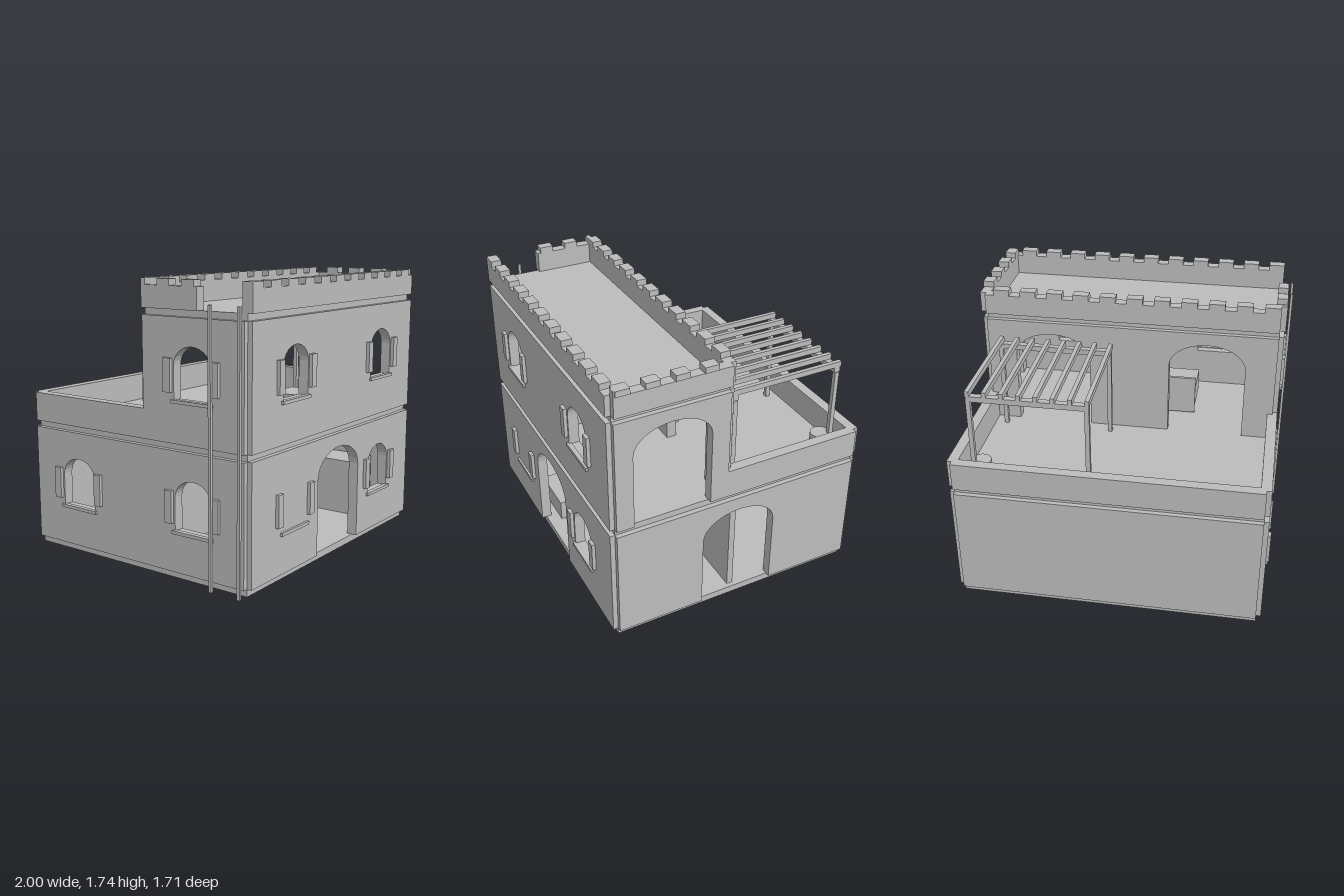
import * as THREE from 'three';

const stone = new THREE.MeshStandardMaterial({ color: 0xbcbcbc });
stone.name = 'stone grey';

const T = 0.065; // wall thickness

export function createModel() {
  const model = new THREE.Group();

  const add = (name, geo) => {
    const mesh = new THREE.Mesh(geo, stone);
    mesh.name = name;
    model.add(mesh);
    return mesh;
  };

  // Box given by its limits on each axis
  const box = (name, x0, x1, y0, y1, z0, z1) => {
    const geo = new THREE.BoxGeometry(x1 - x0, y1 - y0, z1 - z0);
    geo.translate((x0 + x1) / 2, (y0 + y1) / 2, (z0 + z1) / 2);
    return add(name, geo);
  };

  // Arched outline points: jamb, elliptical head, jamb
  const archPoints = ({ c, half, bottom, top, rise }) => {
    const pts = [new THREE.Vector2(c - half, bottom)];
    for (let i = 0; i <= 14; i++) {
      const a = Math.PI * (1 - i / 14);
      pts.push(new THREE.Vector2(c + half * Math.cos(a), top - rise + rise * Math.sin(a)));
    }
    pts.push(new THREE.Vector2(c + half, bottom));
    return pts;
  };

  // Wall plate with door notches (in rising order) and window holes
  const wallGeometry = (u0, u1, y0, y1, doors = [], windows = []) => {
    const outline = [new THREE.Vector2(u0, y0)];
    doors.forEach((d) => outline.push(...archPoints(d)));
    outline.push(new THREE.Vector2(u1, y0), new THREE.Vector2(u1, y1), new THREE.Vector2(u0, y1));
    const shape = new THREE.Shape(outline);
    windows.forEach((w) => shape.holes.push(new THREE.Path(archPoints(w))));
    return new THREE.ExtrudeGeometry(shape, { depth: T, bevelEnabled: false });
  };
  // Wall along x, starting at z
  const wallX = (name, z, ...args) => add(name, wallGeometry(...args).translate(0, 0, z));
  // Wall along z, its +x face at x
  const wallZ = (name, x, ...args) =>
    add(name, wallGeometry(...args).rotateY(-Math.PI / 2).translate(x, 0, 0));

  const door = (c, y) => ({ c, half: 0.245, bottom: y, top: y + 0.64, rise: 0.16 });
  const win = (c, y) => ({ c, half: 0.13, bottom: y, top: y + 0.31, rise: 0.11 });

  const G0 = 0.045, G1 = 0.77, U0 = 0.81, U1 = 1.53, P0 = 1.57, P1 = 1.7, P2 = 1.737;
  const X0 = -0.93, X1 = 0.95;

  // Floor slabs, set back behind the wall faces
  box('baseSlab', X0, X1, 0, G0, -0.815, 0.805);
  box('middleSlab', X0, X1, G1, U0, -0.815, 0.805);
  box('roofSlab', X0, X1, U1, P0, 0.09, 0.805);

  // Ground floor walls
  wallX('groundFrontWall', 0.77, X0, X1, G0, G1, [door(0.01, G0)], [win(0.525, 0.295)]);
  wallX('groundBackWall', -0.845, X0, X1, G0, G1);
  wallZ('groundRightWall', 0.98, -0.815, 0.805, G0, G1, [door(0, G0)]);
  wallZ('groundLeftWall', -0.895, -0.815, 0.805, G0, G1, [], [win(-0.45, 0.295), win(0.45, 0.295)]);

  // Upper floor walls
  wallX('upperFrontWall', 0.77, X0, X1, U0, U1, [], [win(-0.497, 1.06), win(0.525, 1.06)]);
  wallX('upperBackWall', 0.06, X0, X1, U0, U1, [door(-0.49, U0), door(0.52, U0)]);
  wallZ('upperRightWall', 0.98, 0.09, 0.805, U0, U1, [door(0.45, U0)]);
  wallZ('upperLeftWall', -0.895, 0.09, 0.805, U0, U1, [], [win(0.45, 1.06)]);

  // Terrace parapet
  box('terraceBackParapet', X0, X1, U0, 0.99, -0.85, -0.785);
  box('terraceRightParapet', 0.915, 0.98, U0, 0.99, -0.815, 0.09);
  box('terraceLeftParapet', -0.96, -0.895, U0, 0.99, -0.815, 0.09);

  // Roof parapet, open at the left front for the ladder
  box('roofFrontParapet', X0, X1, P0, P1, 0.77, 0.837);
  box('roofBackParapet', X0, X1, P0, P1, 0.055, 0.12);
  box('roofRightParapet', 0.925, 0.99, P0, P1, 0.09, 0.805);
  box('roofLeftParapet', -0.965, -0.9, P0, P1, 0.09, 0.49);

  // Battlements
  for (let i = 0; i < 11; i++) {
    const x = X0 + 0.1 + i * 0.172;
    box('frontMerlon', x - 0.1, x, P1, P2, 0.77, 0.837);
    box('backMerlon', x - 0.1, x, P1, P2, 0.055, 0.12);
  }
  for (let i = 0; i < 4; i++) {
    const z = 0.185 + i * 0.175;
    box('rightMerlon', 0.925, 0.995, P1, P2, z, z + 0.085);
    if (i < 2) box('leftMerlon', -0.965, -0.9, P1, P2, z + 0.025, z + 0.11);
  }
  box('cornerMerlon', 0.95, 0.99, P1, P2, 0.74, 0.805);
  box('cornerMerlon', -0.965, -0.93, P1, P2, 0.09, 0.12);

  // Shutters and sills
  for (const y of [0.28, 1.045]) {
    for (const c of [-0.5, 0.525]) {
      box('frontSill', c - 0.145, c + 0.145, y, y + 0.02, 0.82, 0.85);
      for (const s of [-1, 1]) {
        const x = c + s * 0.168;
        box('frontShutter', x - 0.026, x + 0.026, y + 0.06, y + 0.255, 0.834, 0.857);
      }
    }
    for (const c of y < 1 ? [-0.45, 0.45] : [0.45]) {
      box('leftSill', -0.975, -0.945, y, y + 0.02, c - 0.145, c + 0.145);
      for (const s of [-1, 1]) {
        const z = c + s * 0.168;
        box('leftShutter', -0.981, -0.959, y + 0.06, y + 0.255, z - 0.026, z + 0.026);
      }
    }
  }

  // Ladder rails
  for (const z of [0.6, 0.795]) box('ladderRail', -1, -0.983, 0, 1.61, z - 0.009, z + 0.009);

  // Pergola on the terrace
  for (const z of [-0.015, -0.72]) {
    box('pergolaBeam', 0.115, 0.85, 1.37, 1.405, z - 0.02, z + 0.02);
    for (const x of [0.13, 0.84]) box('pergolaPost', x - 0.014, x + 0.014, U0, 1.37, z - 0.014, z + 0.014);
  }
  for (let i = 0; i < 8; i++) {
    const x = 0.125 + i * 0.102;
    box('pergolaRafter', x - 0.013, x + 0.013, 1.405, 1.44, -0.745, 0.01);
  }

  // Round planter in the terrace corner
  add('planter', new THREE.CylinderGeometry(0.062, 0.062, 0.12, 24).translate(0.81, U0 + 0.06, -0.672));

  // Inner walls on the ground floor
  box('crossPartition', -0.9, 0.92, G0, G1, -0.01, 0.03);
  box('hallPartition', -0.235, -0.215, G0, G1, 0.03, 0.47);

  // Ground floor furniture
  box('sofaSeat', -0.5, -0.165, G0, 0.18, 0.5, 0.72);
  box('sofaBack', -0.5, -0.165, G0, 0.32, 0.478, 0.5);
  box('cabinet', 0.627, 0.88, G0, 0.42, 0.3, 0.6);

  // Upper floor furniture
  box('bedBase', -0.39, -0.13, U0, 0.945, 0.315, 0.69);
  box('bedHeadboard', -0.4, -0.13, 0.82, 1.08, 0.295, 0.315);
  box('tableTop', -0.1, 0.15, 0.975, 0.995, 0.395, 0.57);
  box('tableLeg', 0.0, 0.05, U0, 0.975, 0.46, 0.505);

  return model;
}
